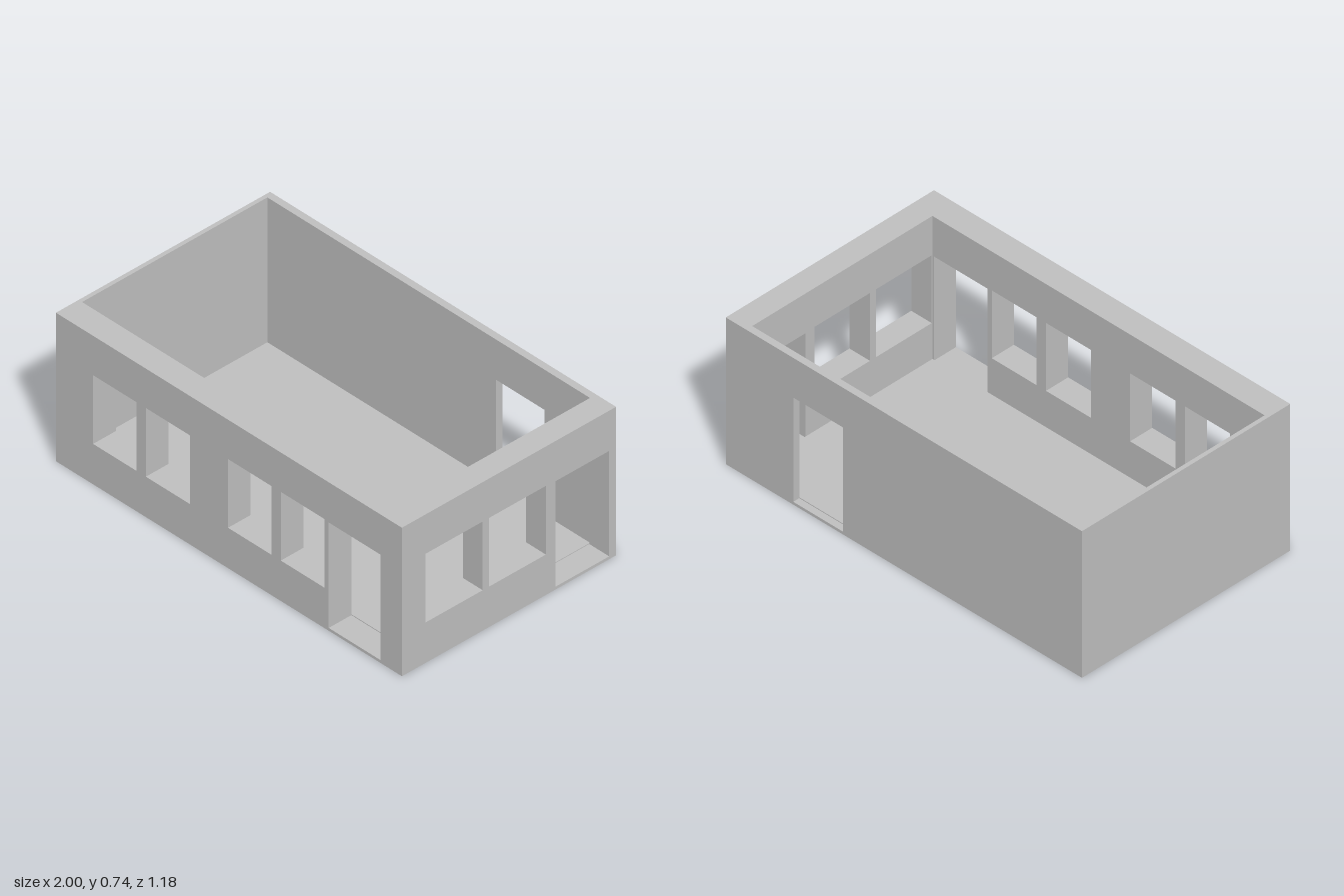
import * as THREE from 'three';

const HEIGHT = 0.735, SILL = 0.2, HEAD = 0.54, THRESHOLD = 0.014, FLOOR = 0.018;
// Outer and inner faces of the walls
const OUT = { x0: -1, x1: 1, z0: -0.59, z1: 0.59 };
const IN = { x0: -0.98, x1: 0.885, z0: -0.556, z1: 0.465 };

const windowAt = (u0, u1) => [u0, SILL, u1, HEAD];
const doorAt = (u0, u1) => [u0, THRESHOLD, u1, HEAD - 0.004];

function rect(Kind, u0, v0, u1, v1) {
  const r = new Kind();
  r.moveTo(u0, v0);
  r.lineTo(u1, v0);
  r.lineTo(u1, v1);
  r.lineTo(u0, v1);
  r.closePath();
  return r;
}

// Upright slab from u0 to u1 with rectangular openings, extruded along +z
function wall(name, material, u0, u1, thickness, openings = []) {
  const shape = rect(THREE.Shape, u0, 0, u1, HEIGHT);
  for (const o of openings) shape.holes.push(rect(THREE.Path, ...o));
  const geometry = new THREE.ExtrudeGeometry(shape, { depth: thickness, bevelEnabled: false });
  const mesh = new THREE.Mesh(geometry, material);
  mesh.name = name;
  return mesh;
}

export function createModel() {
  const model = new THREE.Group();
  model.name = 'roomShell';
  const plaster = new THREE.MeshStandardMaterial({ color: 0xc0c0c0 });
  plaster.name = 'grey plaster';

  // Front wall: two pairs of windows and a door
  const front = wall('frontWall', plaster, OUT.x0, IN.x1, OUT.z1 - IN.z1, [
    windowAt(-0.785, -0.533), windowAt(-0.48, -0.225),
    windowAt(-0.005, 0.247), windowAt(0.3, 0.552), doorAt(0.577, 0.877),
  ]);
  front.position.z = IN.z1;

  // Back wall: a single door
  const back = wall('backWall', plaster, OUT.x0, IN.x1, IN.z0 - OUT.z0, [doorAt(0.342, 0.621)]);
  back.position.z = OUT.z0;

  // Side wall on +x: u runs towards -z
  const side = wall('windowSideWall', plaster, -OUT.z1, -OUT.z0, OUT.x1 - IN.x1, [
    windowAt(-0.461, -0.145), windowAt(-0.111, 0.203), doorAt(0.255, 0.552),
  ]);
  side.rotation.y = Math.PI / 2;
  side.position.x = IN.x1;

  // Thin solid wall on -x
  const solid = wall('solidSideWall', plaster, -IN.z1, -IN.z0, IN.x0 - OUT.x0);
  solid.rotation.y = Math.PI / 2;
  solid.position.x = OUT.x0;

  // Floor slab between the walls
  const floor = new THREE.Mesh(
    new THREE.BoxGeometry(IN.x1 - IN.x0, FLOOR, IN.z1 - IN.z0), plaster);
  floor.name = 'floor';
  floor.position.set((IN.x0 + IN.x1) / 2, FLOOR / 2, (IN.z0 + IN.z1) / 2);

  model.add(front, back, side, solid, floor);
  return model;
}
